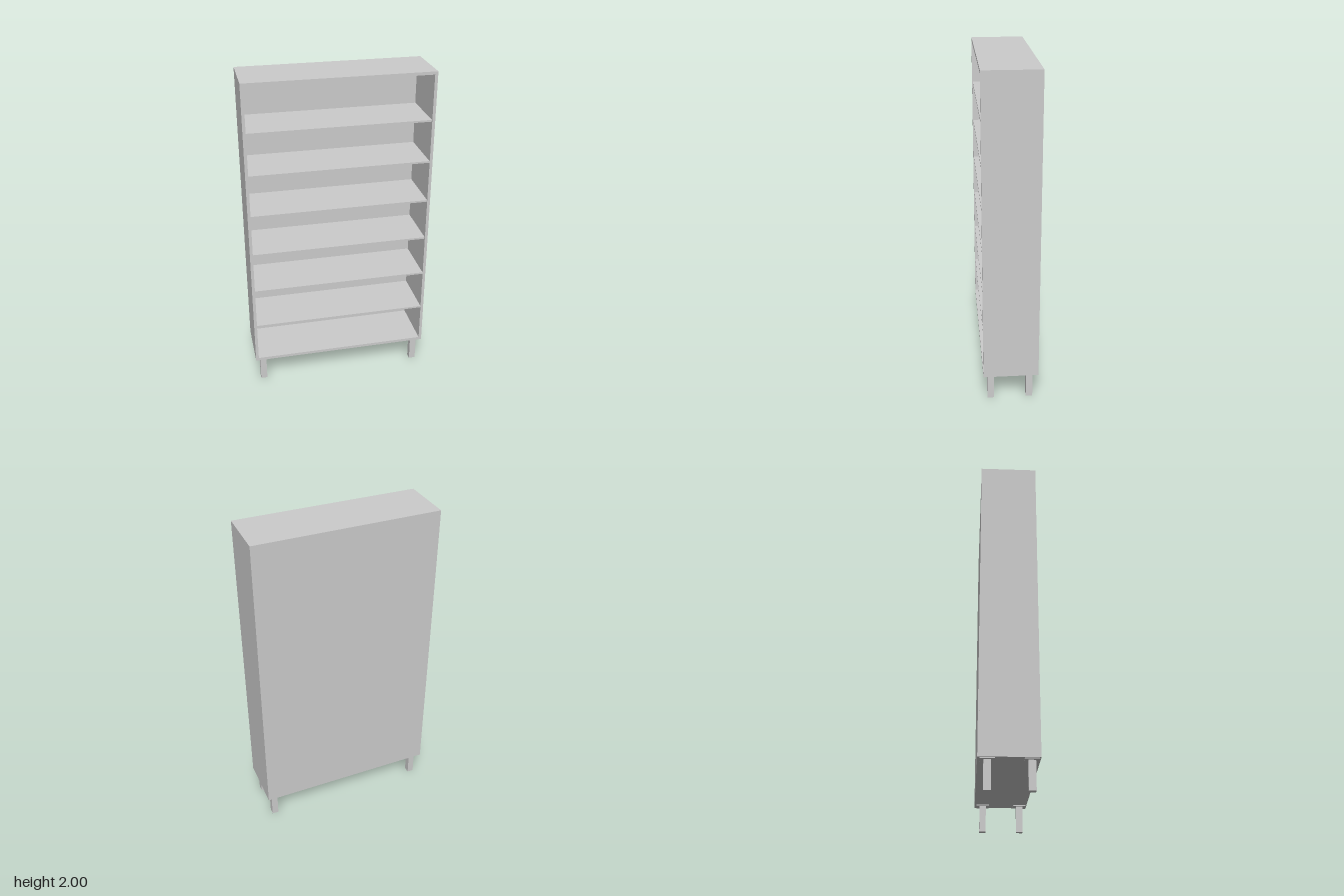
import * as THREE from 'three';

export function createModel() {
  const model = new THREE.Group();
  model.name = 'bookcase';
  const material = new THREE.MeshStandardMaterial({ color: 0xcccccc });

  // Box given by its limits on each axis
  function addBox(name, [x0, x1], [y0, y1], [z0, z1], parent = model) {
    const mesh = new THREE.Mesh(new THREE.BoxGeometry(x1 - x0, y1 - y0, z1 - z0), material);
    mesh.position.set((x0 + x1) / 2, (y0 + y1) / 2, (z0 + z1) / 2);
    mesh.name = name;
    parent.add(mesh);
    return mesh;
  }

  const halfW = 0.556, board = 0.018;
  const bottom = 0.166, top = 2;
  const front = 0.165, back = -0.165, panel = 0.007;
  const inner = halfW - board;
  const depth = [back + panel, front];

  // Carcass
  addBox('rightSide', [-halfW, -inner], [bottom, top], depth);
  addBox('leftSide', [inner, halfW], [bottom, top], depth);
  addBox('topBoard', [-inner, inner], [top - board, top], depth);
  addBox('bottomBoard', [-inner, inner], [bottom, bottom + board], depth);
  addBox('backPanel', [-halfW, halfW], [bottom, top], [back, back + panel]);

  // Evenly spaced thin shelves, set back slightly from the front edge
  const shelfThickness = 0.011;
  for (let i = 0; i < 6; i++) {
    const y = 0.426 + i * 0.2566;
    addBox('shelf' + (i + 1), [-inner, inner],
      [y - shelfThickness / 2, y + shelfThickness / 2], [back + panel, front - 0.004]);
  }

  // Square legs on thin mounting plates
  const legHalf = 0.02, plateHalf = 0.04, plateThickness = 0.005;
  for (const x of [-0.507, 0.507]) {
    for (const z of [-0.113, 0.12]) {
      const leg = new THREE.Group();
      leg.name = (z > 0 ? 'front' : 'back') + (x > 0 ? 'Left' : 'Right') + 'Leg';
      leg.position.set(x, 0, z);
      addBox('legPost', [-legHalf, legHalf], [0, bottom - plateThickness], [-legHalf, legHalf], leg);
      addBox('mountingPlate', [-plateHalf, plateHalf],
        [bottom - plateThickness, bottom], [-plateHalf, plateHalf], leg);
      model.add(leg);
    }
  }

  return model;
}
